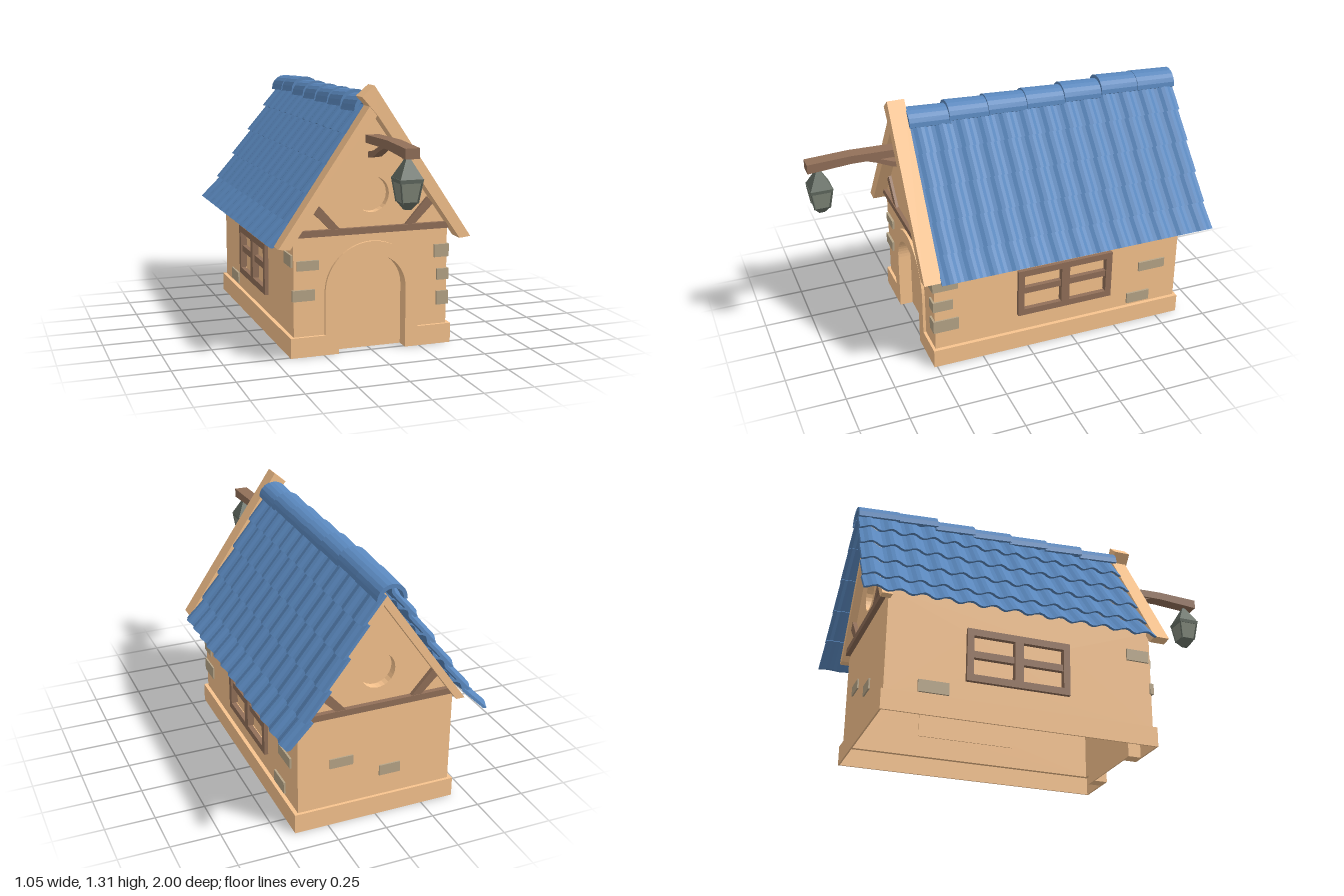
import * as THREE from 'three';

const mat = (color) => new THREE.MeshStandardMaterial({ color, flatShading: true });
const V = (x, y) => new THREE.Vector2(x, y);

export function createModel() {
  const root = new THREE.Group();
  const plaster = mat(0xf8c48e), wood = mat(0x927059), stone = mat(0xb8a688);
  const tile = mat(0x5a88be), iron = mat(0x666f65), glass = mat(0x858c7e);

  const add = (name, geo, material, parent = root) => {
    const m = new THREE.Mesh(geo, material);
    m.name = name;
    parent.add(m);
    return m;
  };
  // Box given by its minimum and maximum on each axis
  const box = (name, x0, x1, y0, y1, z0, z1, material, parent) => {
    const m = add(name, new THREE.BoxGeometry(x1 - x0, y1 - y0, z1 - z0), material, parent);
    m.position.set((x0 + x1) / 2, (y0 + y1) / 2, (z0 + z1) / 2);
    return m;
  };
  // Outline in x/y pushed from z0 to z1
  const slab = (name, shape, z0, z1, material, parent) => {
    const geo = new THREE.ExtrudeGeometry(shape, { depth: z1 - z0, bevelEnabled: false, curveSegments: 14 });
    const m = add(name, geo, material, parent);
    m.position.z = z0;
    return m;
  };
  const poly = (pts) => new THREE.Shape(pts.map(([x, y]) => V(x, y)));
  const flip = (pts) => pts.map(([x, y]) => [-x, y]).reverse();

  // Thin gable walls: the front has a doorway, both have a round opening
  const SPRING = 0.31, DOOR = 0.175, ARCH = 0.243, ROUND = 0.088;
  const disc = (r) => new THREE.Shape().absarc(0, 0.782, r, 0, Math.PI * 2, false);
  const gable = (door) => {
    const s = new THREE.Shape().moveTo(-0.4, 0.09);
    if (door) {
      s.lineTo(-DOOR, 0.09).lineTo(-DOOR, SPRING);
      s.absarc(0, SPRING, DOOR, Math.PI, 0, true);
      s.lineTo(DOOR, 0.09);
    }
    s.lineTo(0.4, 0.09).lineTo(0.4, 0.615).lineTo(0, 1.18).lineTo(-0.4, 0.615);
    s.holes.push(disc(ROUND));
    return s;
  };
  slab('frontWall', gable(true), 0.49, 0.5, plaster);
  slab('backWall', gable(false), -0.86, -0.85, plaster);

  // Round recesses in both gables
  const rim = disc(ROUND + 0.006);
  rim.holes.push(disc(ROUND));
  for (const [z0, z1, zPanel] of [[0.455, 0.495, 0.455], [-0.855, -0.815, -0.82]]) {
    slab('roundRecessRim', rim, z0, z1, plaster);
    slab('roundRecessPanel', disc(ROUND), zPanel, zPanel + 0.005, plaster);
  }

  // Raised arch round the doorway, with the recessed door behind it
  const arch = new THREE.Shape().moveTo(-ARCH, 0).lineTo(-ARCH, SPRING);
  arch.absarc(0, SPRING, ARCH, Math.PI, 0, true);
  arch.lineTo(ARCH, 0).lineTo(DOOR, 0).lineTo(DOOR, SPRING);
  arch.absarc(0, SPRING, DOOR, 0, Math.PI, false);
  arch.lineTo(-DOOR, 0);
  slab('doorSurround', arch, 0.44, 0.515, plaster);
  const door = new THREE.Shape().moveTo(-DOOR, 0).lineTo(DOOR, 0).lineTo(DOOR, SPRING);
  door.absarc(0, SPRING, DOOR, 0, Math.PI, false);
  slab('doorPanel', door, 0.44, 0.446, plaster);

  // Side walls with window and hollow plinth, mirrored left and right
  for (const side of [1, -1]) {
    const g = new THREE.Group();
    g.name = side > 0 ? 'leftSide' : 'rightSide';
    g.scale.x = side;
    root.add(g);

    const wall = poly([[-0.5, 0.09], [0.86, 0.09], [0.86, 0.615], [-0.5, 0.615]]);
    wall.holes.push(new THREE.Path([V(-0.03, 0.225), V(-0.03, 0.445), V(0.445, 0.445), V(0.445, 0.225)]));
    const w = slab('sideWall', wall, 0, 0.015, plaster, g);
    w.rotation.y = Math.PI / 2;
    w.position.set(0.385, 0, 0);
    box('windowPanel', 0.38, 0.386, 0.2, 0.47, -0.47, 0.055, plaster, g);

    box('windowSill', 0.395, 0.42, 0.2, 0.235, -0.47, 0.055, wood, g);
    box('windowHead', 0.395, 0.42, 0.435, 0.47, -0.47, 0.055, wood, g);
    for (const [z0, z1] of [[0.022, 0.055], [-0.23, -0.185], [-0.47, -0.437]])
      box('windowPost', 0.386, 0.42, 0.235, 0.435, z0, z1, wood, g);
    for (const [z0, z1] of [[-0.185, 0.022], [-0.437, -0.23]])
      box('windowBar', 0.386, 0.41, 0.325, 0.36, z0, z1, wood, g);

    box('sidePlinth', 0.412, 0.42, 0, 0.1, -0.875, 0.515, plaster, g);
    box('sidePlinthLedge', 0.386, 0.412, 0.092, 0.1, -0.867, 0.507, plaster, g);
    box('frontPlinth', ARCH, 0.412, 0, 0.1, 0.507, 0.515, plaster, g);
    box('frontPlinthLedge', ARCH, 0.386, 0.092, 0.1, 0.49, 0.507, plaster, g);
  }
  box('backPlinth', -0.412, 0.412, 0, 0.1, -0.875, -0.867, plaster);
  box('backPlinthLedge', -0.386, 0.386, 0.092, 0.1, -0.867, -0.85, plaster);

  // Corner stones wrap round the front edge, one plate on each wall
  for (const [x, y0, y1, z] of [[0.33, 0.445, 0.51, 0.375], [0.345, 0.328, 0.385, 0.405], [0.345, 0.2, 0.27, 0.375]]) {
    box('cornerStone', x, 0.408, y0, y1, 0.492, 0.51, stone);
    box('cornerStone', 0.392, 0.408, y0, y1, z, 0.492, stone);
  }
  const stones = [
    [-0.385, -0.275, 0.43, 0.478, 0.492, 0.512], [-0.408, -0.295, 0.28, 0.335, 0.492, 0.512],
    [0.39, 0.41, 0.305, 0.358, -0.785, -0.635], [0.39, 0.41, 0.115, 0.175, -0.705, -0.575],
    [-0.41, -0.39, 0.115, 0.175, -0.7, -0.55], [-0.41, -0.39, 0.445, 0.505, 0.37, 0.49],
    [0.12, 0.24, 0.31, 0.36, -0.868, -0.852], [-0.13, -0.02, 0.21, 0.265, -0.868, -0.852],
  ];
  for (const s of stones) box('wallStone', ...s, stone);

  // Gable timbers, front and back
  const brace = [[0.165, 0.62], [0.215, 0.62], [0.315, 0.72], [0.285, 0.755]];
  for (const [z0, z1] of [[0.492, 0.52], [-0.885, -0.852]]) {
    box('gableBeam', -0.4, 0.4, 0.593, 0.625, z0, z1, wood);
    for (const pts of [brace, flip(brace)]) slab('gableBrace', poly(pts), z0 + 0.003, z1 - 0.005, wood);
  }

  // Barge boards: at the front one board runs on past the peak
  slab('frontBargeBoard', poly([[0.435, 0.55], [0.493, 0.556], [-0.018, 1.313], [-0.08, 1.26], [0, 1.17]]), 0.487, 0.575, plaster);
  slab('frontBargeBoard', poly([[0, 1.17], [0, 1.27], [-0.493, 0.556], [-0.435, 0.55]]), 0.487, 0.567, plaster);
  const rear = [[0, 1.13], [0.4, 0.566], [0.445, 0.566], [0, 1.195]];
  for (const pts of [rear, flip(rear)]) slab('backBargeBoard', poly(pts), -0.9, -0.85, plaster);

  // Roof: overlapping rows of waved tiles, each cut level along its lower edge
  const rows = [[0.522, 0.558], [0.43, 0.672], [0.338, 0.806], [0.244, 0.946], [0.15, 1.087], [0.068, 1.212]];
  const N = { x: 0.82, y: 0.57 };
  const COLS = 13, STEPS = 6, T = 0.015, SINK = 0.02;
  const wave = (k) => 0.01 * Math.cos((k / STEPS + 0.5) * Math.PI * 2) - 0.006;
  const tileRow = (i) => {
    const [lx, ly] = rows[i], [ux, uy] = rows[i + 1];
    const ring = [
      [lx, ly],
      [ux - N.x * SINK - 0.012, uy - N.y * SINK + 0.017],
      [ux - N.x * (SINK + T) - 0.012, uy - N.y * (SINK + T) + 0.017],
      [lx - T / N.x, ly],
    ];
    const pos = [], idx = [], n = COLS * STEPS;
    for (let j = 0; j <= n; j++) {
      for (const [x, y] of ring) {
        const len = 1.445 + 0.045 * (1.21 - y) / 0.65;
        const o = wave(j);
        pos.push(x + N.x * o, y + N.y * o, 0.49 - (len * j) / n);
      }
      if (j === n) break;
      for (let k = 0; k < 4; k++) {
        const a = j * 4 + k, b = j * 4 + ((k + 1) % 4);
        idx.push(a, a + 4, b, b, a + 4, b + 4);
      }
    }
    const e = n * 4;
    idx.push(0, 1, 2, 0, 2, 3, e, e + 2, e + 1, e, e + 3, e + 2);
    const geo = new THREE.BufferGeometry();
    geo.setAttribute('position', new THREE.Float32BufferAttribute(pos, 3));
    geo.setIndex(idx);
    geo.computeVertexNormals();
    return geo;
  };
  for (let i = 0; i < rows.length - 1; i++) {
    const geo = tileRow(i);
    add('leftTileRow', geo, tile);
    add('rightTileRow', geo, tile).scale.x = -1;
  }

  // Ridge caps: arched, each a little narrower where it slips under the next
  const cap = new THREE.Shape();
  cap.moveTo(0.082, 1.187);
  cap.absellipse(0, 1.195, 0.08, 0.073, 0, Math.PI, false);
  cap.lineTo(-0.082, 1.187).lineTo(-0.066, 1.187);
  cap.absellipse(0, 1.19, 0.062, 0.058, Math.PI, 0, true);
  cap.lineTo(0.066, 1.187);
  const lift = [0, 0.006, 0.003, 0.001, 0.002, 0.009, 0];
  for (let i = 0; i < 7; i++) {
    const geo = new THREE.ExtrudeGeometry(cap, { depth: 0.215, bevelEnabled: false, curveSegments: 5 });
    const p = geo.attributes.position;
    for (let v = 0; v < p.count; v++) {
      const t = p.getZ(v) / 0.215;
      p.setX(v, p.getX(v) * (0.93 + 0.07 * t));
      p.setY(v, p.getY(v) + 0.012 * (t - 1) + lift[i]);
    }
    geo.computeVertexNormals();
    add('ridgeCap', geo, tile).position.set(-0.008, 0, 0.49 - 0.206 * i - 0.215);
  }

  // Lantern bracket: side profile across the width of the beam
  const bracket = (name, pts, half) => {
    const m = slab(name, poly(pts), -half, half, wood);
    m.rotation.y = -Math.PI / 2;
    m.position.set(half, 0, 0);
  };
  bracket('lanternBeam', [[0.492, 1.035], [0.78, 1.038], [1, 1.022], [1, 1.07], [0.78, 1.08], [0.492, 1.073]], 0.035);
  bracket('lanternBrace', [[0.492, 0.96], [0.57, 0.975], [0.65, 1.012], [0.73, 1.04], [0.66, 1.04], [0.57, 1.005], [0.492, 0.99]], 0.022);

  // Hanging four-sided lantern
  const lantern = new THREE.Group();
  lantern.name = 'lantern';
  lantern.position.z = 0.942;
  root.add(lantern);
  const taper = (name, top, bottom, y0, y1, material) => {
    const geo = new THREE.CylinderGeometry(top * Math.SQRT2, bottom * Math.SQRT2, y1 - y0, 4).rotateY(Math.PI / 4);
    add(name, geo, material, lantern).position.y = (y0 + y1) / 2;
  };
  taper('lanternHook', 0.006, 0.006, 1.01, 1.04, iron);
  taper('lanternRoof', 0.009, 0.055, 0.93, 1.02, iron);
  taper('lanternRim', 0.057, 0.054, 0.912, 0.93, iron);
  taper('lanternGlass', 0.051, 0.037, 0.825, 0.912, glass);
  taper('lanternBase', 0.04, 0.014, 0.787, 0.825, iron);
  for (const [sx, sz] of [[1, 1], [1, -1], [-1, 1], [-1, -1]]) {
    const path = new THREE.LineCurve3(
      new THREE.Vector3(sx * 0.037, 0.82, sz * 0.037), new THREE.Vector3(sx * 0.051, 0.915, sz * 0.051));
    add('lanternPost', new THREE.TubeGeometry(path, 1, 0.005, 4), iron, lantern);
  }
  return root;
}
